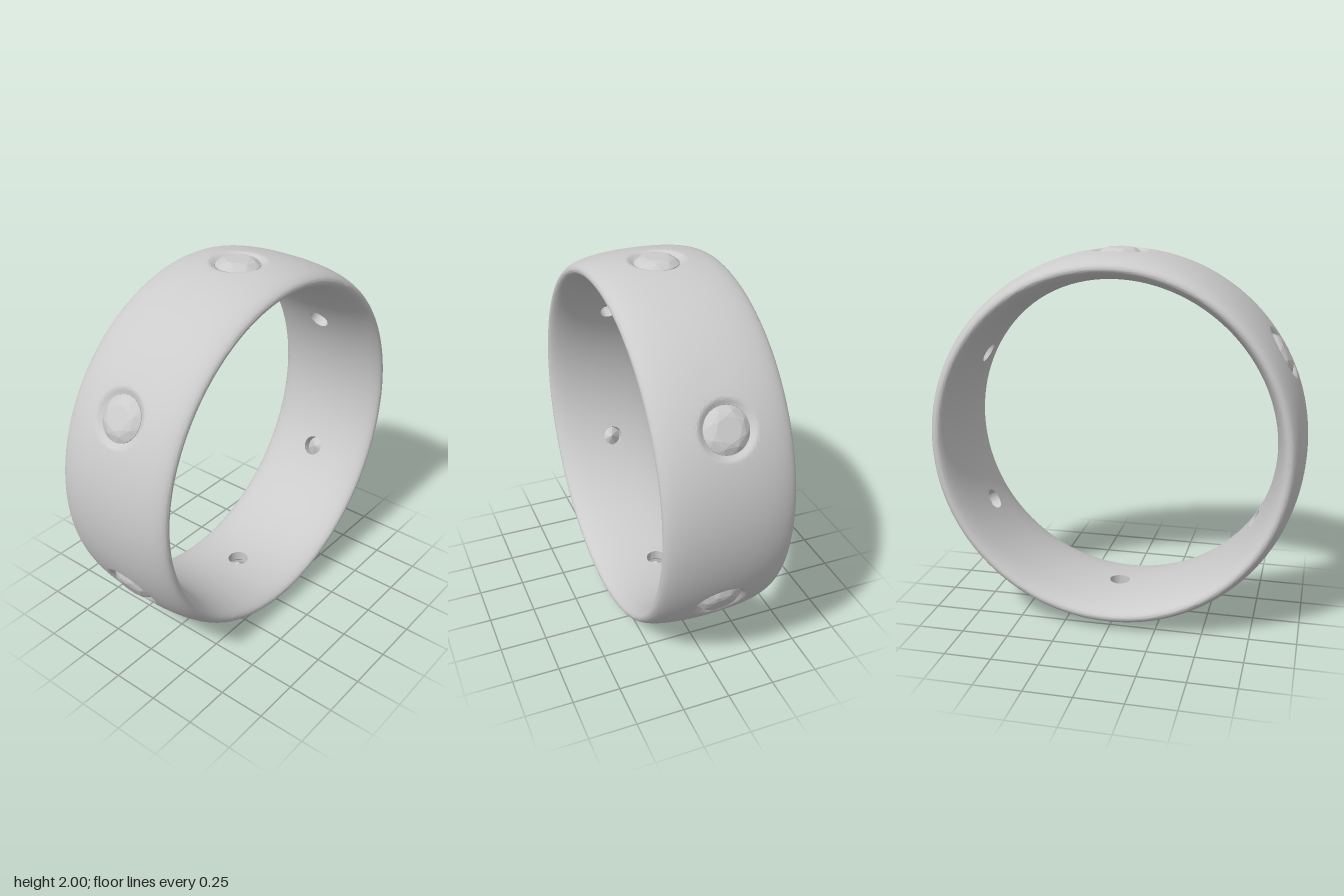
import * as THREE from 'three';
import { toCreasedNormals } from 'three/addons/utils/BufferGeometryUtils.js';
import { ConvexGeometry } from 'three/addons/geometries/ConvexGeometry.js';

const COUNT = 6;                  // stones around the band
const HALF = Math.PI / COUNT;     // half angle of one sector
const W = 0.335;                  // half width of the band
const EDGE = 0.92;                // radius of the thin rim
const SEAT = 0.114, HOLE = 0.056; // stone seat and drilled hole radii

// Domed outside and comfort-fit inside of the band, as radius over z
const dome = (z, n) => Math.pow(Math.max(0, 1 - Math.pow(Math.abs(z) / W, n)), 1 / n);
const outerR = (z, d) =>
  EDGE + 0.073 * dome(z, 2.2) - 0.024 * (1 - THREE.MathUtils.smoothstep(d, SEAT - 0.012, 0.15));
const innerR = (z) => EDGE - 0.075 * dome(z, 2);

// Outline of one sector in (angle, z), sampled finely towards the rim
function sectorOutline(n) {
  const pts = [];
  for (let side = 0; side < 4; side++) {
    for (let i = 0; i < n; i++) {
      const u = (2 * i) / n - 1;
      const z = W * Math.sin((u * Math.PI) / 2);
      pts.push([[HALF, z], [-u * HALF, W], [-HALF, -z], [u * HALF, -W]][side]);
    }
  }
  return pts;
}

// One sector: outer skin, softened seat, drilled hole, inner skin as one strip of rows
function sectorRows() {
  const outline = sectorOutline(24);
  const rows = [];
  const point = (a, z, r) => new THREE.Vector3(r * Math.sin(a), r * Math.cos(a), z);
  const ring = (d, radius) => rows.push(outline.map(([a, z]) => {
    const l = Math.hypot(a, z), zz = (z / l) * d;
    const r = radius(zz, d);
    return point(((a / l) * d) / r, zz, r);
  }));
  const skin = (d, radius, t) => rows.push(outline.map(([a, z]) => {
    const l = Math.hypot(a, z), R = radius(0, 1);
    const aa = THREE.MathUtils.lerp(((a / l) * d) / R, a, t);
    const zz = THREE.MathUtils.lerp((z / l) * d, z, t);
    return point(aa, zz, radius(zz, 1));
  }));
  const J = 20;
  const ease = (j) => Math.sin((j / J) * Math.PI / 2);
  for (let j = J; j >= 0; j--) skin(0.155, outerR, ease(j));
  for (const d of [0.147, 0.14, 0.133, 0.126, 0.12, SEAT]) ring(d, outerR);
  ring(SEAT, () => 0.955);
  ring(HOLE, () => 0.9);
  for (let j = 0; j <= J; j++) skin(HOLE, innerR, ease(j));
  return rows;
}

function bandGeometry() {
  const rows = sectorRows(), pos = [];
  const axis = new THREE.Vector3(0, 0, 1);
  for (let s = 0; s < COUNT; s++) {
    const turned = rows.map((row) =>
      row.map((p) => p.clone().applyAxisAngle(axis, s * 2 * HALF)));
    for (let i = 0; i < turned.length - 1; i++) {
      const n = turned[i].length;
      for (let k = 0; k < n; k++) {
        const a = turned[i][k], b = turned[i + 1][k];
        const c = turned[i][(k + 1) % n], d = turned[i + 1][(k + 1) % n];
        for (const p of [a, b, c, b, d, c]) pos.push(p.x, p.y, p.z);
      }
    }
  }
  const geo = new THREE.BufferGeometry();
  geo.setAttribute('position', new THREE.Float32BufferAttribute(pos, 3));
  return toCreasedNormals(geo, 0.8);
}

// Faceted round stone: table, star tips, girdle, pavilion and culet
function stoneGeometry() {
  const pts = [new THREE.Vector3(0, 0.872, 0)];
  const ring = (n, r, y, shift = 0) => {
    for (let i = 0; i < n; i++) {
      const a = ((i + shift) / n) * Math.PI * 2;
      pts.push(new THREE.Vector3(r * Math.cos(a), y, r * Math.sin(a)));
    }
  };
  ring(8, 0.062, 1);
  ring(8, 0.088, 0.992, 0.5);
  ring(32, 0.113, 0.971);
  ring(32, 0.113, 0.963);
  ring(8, 0.06, 0.918, 0.5);
  return new ConvexGeometry(pts);
}

export function createModel() {
  const group = new THREE.Group();
  group.name = 'ring';
  const metal = new THREE.MeshStandardMaterial({ color: 0xcccccc });
  const gem = new THREE.MeshStandardMaterial({ color: 0xcccccc, flatShading: true });

  // Band
  const band = new THREE.Mesh(bandGeometry(), metal);
  band.name = 'band';
  band.position.y = 1;
  group.add(band);

  // Stones, one per sector
  const geo = stoneGeometry();
  for (let i = 0; i < COUNT; i++) {
    const stone = new THREE.Mesh(geo, gem);
    stone.name = `stone${i + 1}`;
    stone.position.y = 1;
    stone.rotation.z = i * 2 * HALF;
    group.add(stone);
  }
  return group;
}
